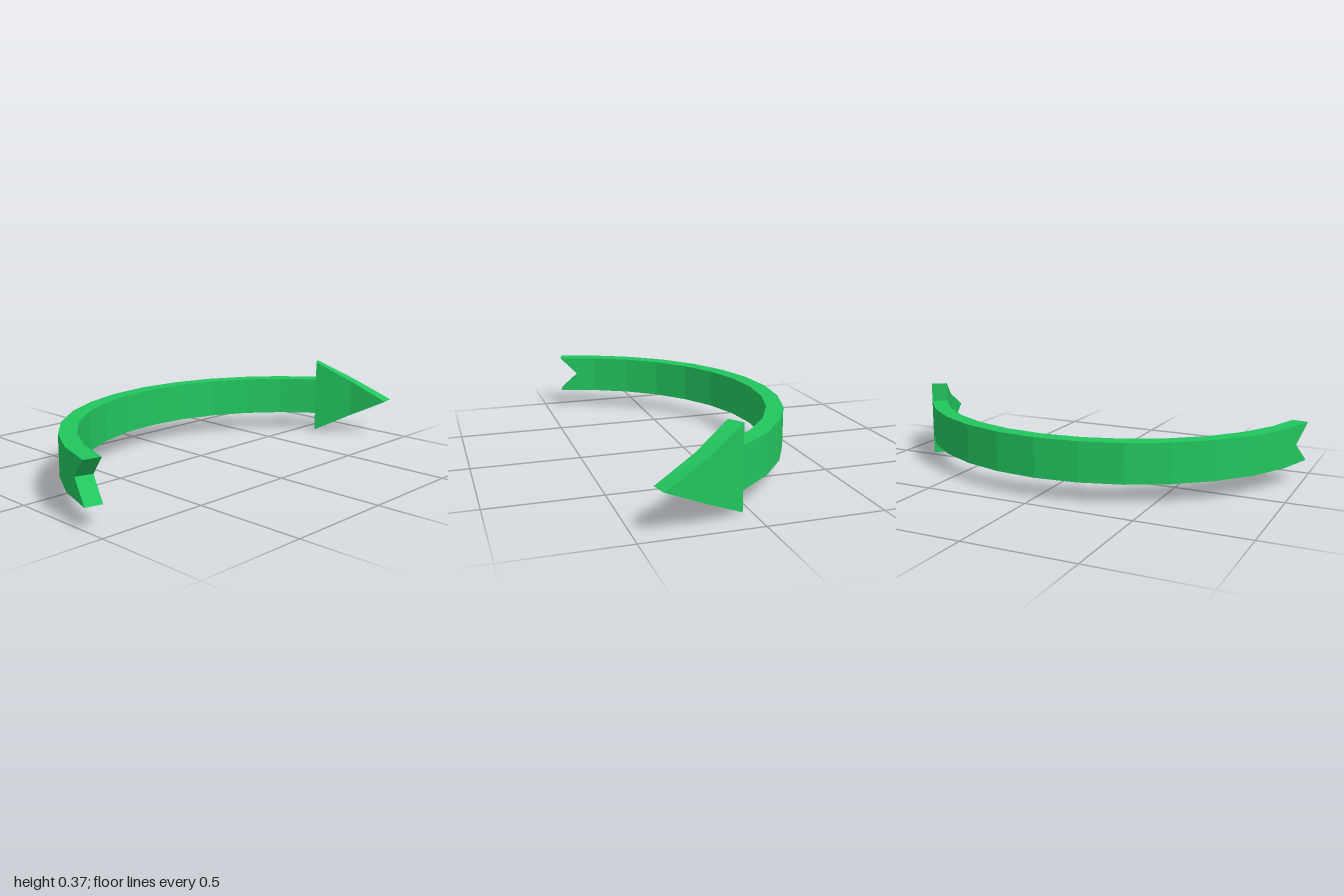
import * as THREE from 'three';

const STEP = THREE.MathUtils.degToRad(78.4) / 7; // seven facets each side of the middle
const CENTRE_Z = 0.606, OUTER = 1.021, INNER = 0.945;
const MID = 0.1825, SHAFT = 0.091, HEAD = 0.1825; // mid height and half heights

// Point at facet position t and height y, lying on the straight chords of the arc
function onArc([t, y], radius) {
  const i = Math.floor(t), f = t - i;
  const at = (k) => new THREE.Vector3(radius * Math.sin(k * STEP), y, CENTRE_Z - radius * Math.cos(k * STEP));
  return f === 0 ? at(i) : at(i).lerp(at(i + 1), f);
}

// Solid band: convex panels on the inner and outer faces, walls along the outline.
// Panels and outline run counter-clockwise in (t, y).
function bentPlate(name, panels, outline, material) {
  const pos = [];
  const fan = (pts) => {
    for (let i = 1; i < pts.length - 1; i++) {
      for (const p of [pts[0], pts[i], pts[i + 1]]) pos.push(p.x, p.y, p.z);
    }
  };
  for (const panel of panels) {
    fan(panel.map((p) => onArc(p, INNER)));
    fan(panel.map((p) => onArc(p, OUTER)).reverse());
  }
  outline.forEach((a, i) => {
    const b = outline[(i + 1) % outline.length];
    fan([onArc(a, INNER), onArc(a, OUTER), onArc(b, OUTER), onArc(b, INNER)]);
  });
  const geometry = new THREE.BufferGeometry();
  geometry.setAttribute('position', new THREE.Float32BufferAttribute(pos, 3));
  geometry.computeVertexNormals();
  const mesh = new THREE.Mesh(geometry, material);
  mesh.name = name;
  return mesh;
}

export function createModel() {
  const group = new THREE.Group();
  group.name = 'curvedArrow';
  const green = new THREE.MeshStandardMaterial({ color: 0x22c55e, flatShading: true });
  const lo = MID - SHAFT, hi = MID + SHAFT;

  // Shaft with a V notch cut into its tail
  const panels = [
    [[-7, hi], [-6.5, MID], [-6, MID], [-6, hi]],
    [[-7, lo], [-6, lo], [-6, MID], [-6.5, MID]],
  ];
  const bottom = [[-7, lo]], top = [[-7, hi]];
  for (let t = -6; t <= 5; t++) {
    bottom.push([t, lo]);
    top.unshift([t, hi]);
    if (t < 5) panels.push([[t, lo], [t + 1, lo], [t + 1, hi], [t, hi]]);
  }
  group.add(bentPlate('shaft', panels, [...bottom, ...top, [-6.5, MID]], green));

  // Head tapering over two facets to a point
  const a = [5, MID - HEAD], b = [6, MID - HEAD / 2], tip = [7, MID];
  const c = [6, MID + HEAD / 2], d = [5, MID + HEAD];
  group.add(bentPlate('arrowHead', [[a, b, c, d], [b, tip, c]], [a, b, tip, c, d], green));

  return group;
}
